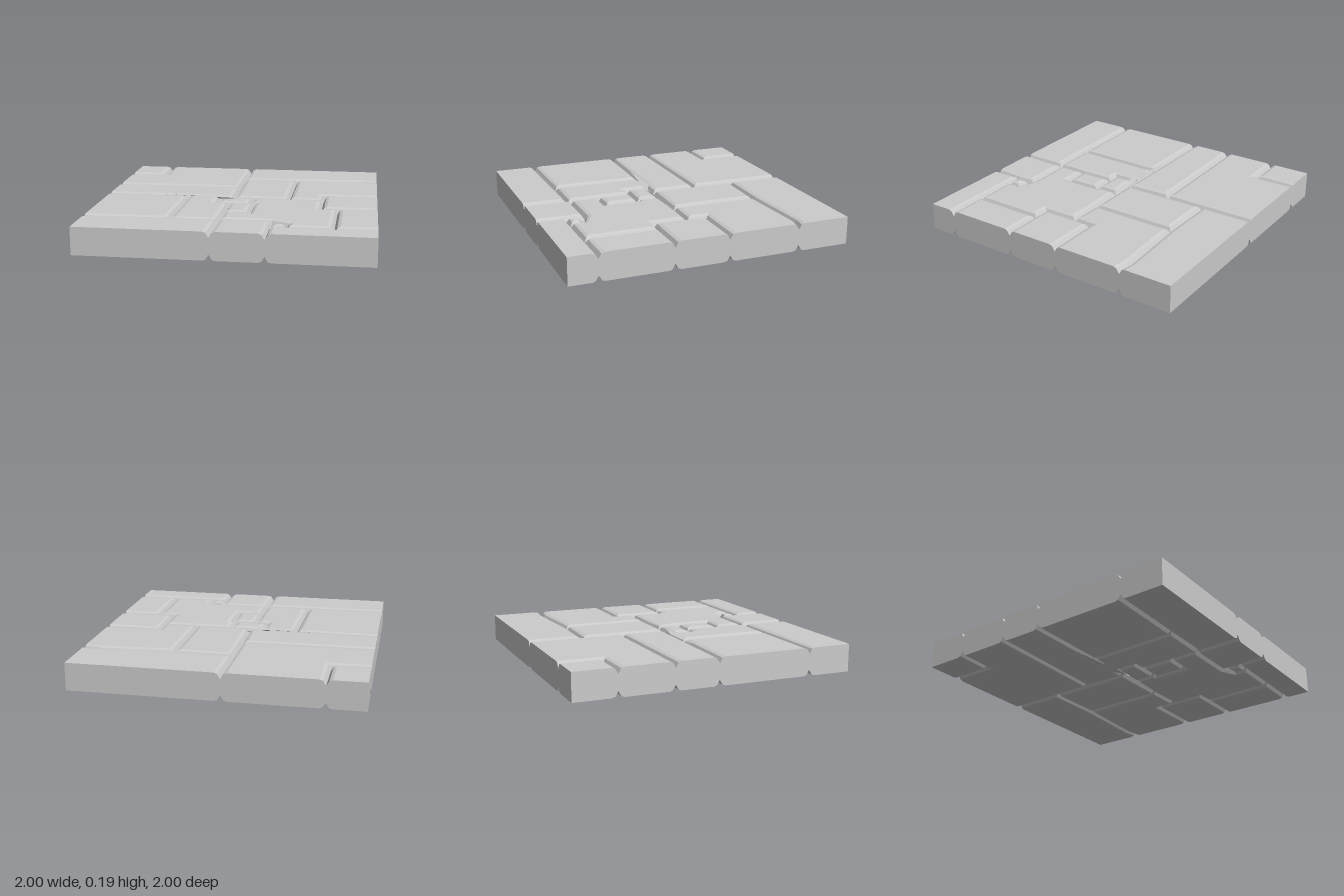
import * as THREE from 'three';

const H = 0.195; // slab thickness

// Stone outlines as [x, z] corners, meeting along the seams
const STONES = {
  backRightCornerStone: [[-1, -1], [-0.735, -1], [-0.735, -0.7], [-1, -0.695]],
  backRightStone: [[-0.735, -1], [-0.053, -1], [-0.06, -0.315], [-1, -0.305], [-1, -0.695], [-0.735, -0.7]],
  rightBandStone: [[-1, -0.305], [-0.06, -0.315], [-0.055, 0.02], [-1, 0.008]],
  backLeftStone: [[-0.053, -1], [1, -1], [1, -0.62], [0.9, -0.635], [0.36, -0.607], [-0.055, -0.615]],
  centreStone: [[-0.055, -0.615], [0.36, -0.607], [0.352, 0.025], [-0.055, 0.02]],
  leftStone: [[0.36, -0.607], [0.9, -0.635], [1, -0.62], [1, -0.108], [0.61, -0.11], [0.605, 0.03], [0.352, 0.025]],
  leftSquareStone: [[0.61, -0.11], [1, -0.108], [1, 0.28], [0.72, 0.28], [0.605, 0.275], [0.605, 0.03]],
  rightSquareStone: [[-1, 0.008], [-0.4, 0.016], [-0.41, 0.68], [-1, 0.685]],
  rightInnerStone: [[-0.4, 0.016], [-0.055, 0.02], [0.09, 0.035], [-0.155, 0.04], [-0.155, 0.195],
    [-0.07, 0.2], [-0.068, 0.45], [-0.075, 0.68], [-0.41, 0.68]],
  upperSmallStone: [[-0.155, 0.04], [0.09, 0.035], [0.085, 0.2], [-0.155, 0.195]],
  lowerSmallStone: [[-0.07, 0.2], [0.11, 0.2], [0.11, 0.45], [-0.068, 0.45]],
  frontInnerStone: [[0.09, 0.035], [0.352, 0.025], [0.605, 0.03], [0.605, 0.275], [0.72, 0.28], [0.715, 0.8],
    [0.4, 0.8], [0.4, 0.71], [0.29, 0.66], [-0.07, 0.66], [-0.068, 0.45], [0.11, 0.45], [0.11, 0.2], [0.085, 0.2]],
  leftFrontStone: [[0.72, 0.28], [1, 0.28], [1, 0.798], [0.715, 0.8]],
  chipStone: [[0.3, 0.69], [0.4, 0.71], [0.4, 0.8], [0.29, 0.8]],
  frontRightStone: [[-1, 0.685], [-0.41, 0.68], [-0.075, 0.68], [-0.08, 1], [-1, 1]],
  frontMiddleStone: [[-0.07, 0.66], [0.29, 0.66], [0.295, 0.8], [0.283, 1], [-0.08, 1]],
  frontLeftStone: [[0.283, 0.8], [1, 0.798], [1, 1], [0.283, 1]],
};

// Worn bevel: [height, inset] from the underside to the top
const PROFILE = [[0, 0.042], [0.008, 0.02], [0.042, 0], [H - 0.042, 0], [H - 0.008, 0.02], [H, 0.042]];

const area = (p) => THREE.ShapeUtils.area(p);
const onRim = (a, b) => ['x', 'y'].some((k) => Math.abs(a[k]) === 1 && a[k] === b[k]);

// Moves every seam edge inward by d; edges on the slab rim stay flush
function inset(points, d) {
  const n = points.length;
  const edges = points.map((a, i) => {
    const b = points[(i + 1) % n];
    const dir = b.clone().sub(a).normalize();
    const off = onRim(a, b) ? 0 : d;
    return { dir, p: new THREE.Vector2(a.x - dir.y * off, a.y + dir.x * off) };
  });
  return edges.map((e, i) => {
    const f = edges[(i + n - 1) % n];
    const cross = f.dir.cross(e.dir);
    if (Math.abs(cross) < 0.005) return e.p.clone();
    const t = e.p.clone().sub(f.p).cross(e.dir) / cross;
    return f.p.clone().addScaledVector(f.dir, t);
  });
}

// Joins the inset outlines into a closed stone
function stoneGeometry(corners) {
  const outline = corners.map(([x, z]) => new THREE.Vector2(x, z));
  if (area(outline) < 0) outline.reverse();
  const n = outline.length;
  const rings = PROFILE.map(([, d]) => inset(outline, d));
  const positions = rings.flatMap((r, k) => r.flatMap((p) => [p.x, PROFILE[k][0], p.y]));
  const index = [];
  for (let k = 0; k < rings.length - 1; k++) {
    for (let i = 0; i < n; i++) {
      const a = k * n + i, b = k * n + (i + 1) % n;
      index.push(a, a + n, b + n, a, b + n, b);
    }
  }
  // Underside and top
  for (const k of [0, rings.length - 1]) {
    for (const tri of THREE.ShapeUtils.triangulateShape(rings[k], [])) {
      const up = area(tri.map((i) => rings[k][i])) < 0;
      if (up !== (k > 0)) tri.reverse();
      index.push(...tri.map((i) => i + k * n));
    }
  }
  const geometry = new THREE.BufferGeometry();
  geometry.setAttribute('position', new THREE.Float32BufferAttribute(positions, 3));
  geometry.setIndex(index);
  const flat = geometry.toNonIndexed();
  flat.computeVertexNormals();
  return flat;
}

export function createModel() {
  const group = new THREE.Group();
  group.name = 'stoneFloorSlab';
  const material = new THREE.MeshStandardMaterial({ color: 0xcccccc, flatShading: true });
  for (const [name, corners] of Object.entries(STONES)) {
    const stone = new THREE.Mesh(stoneGeometry(corners), material);
    stone.name = name;
    group.add(stone);
  }
  // Core that closes the bottom of the seams
  const core = new THREE.Mesh(new THREE.BoxGeometry(1.98, H - 0.09, 1.98), material);
  core.name = 'seamCore';
  core.position.y = H / 2;
  group.add(core);
  return group;
}
